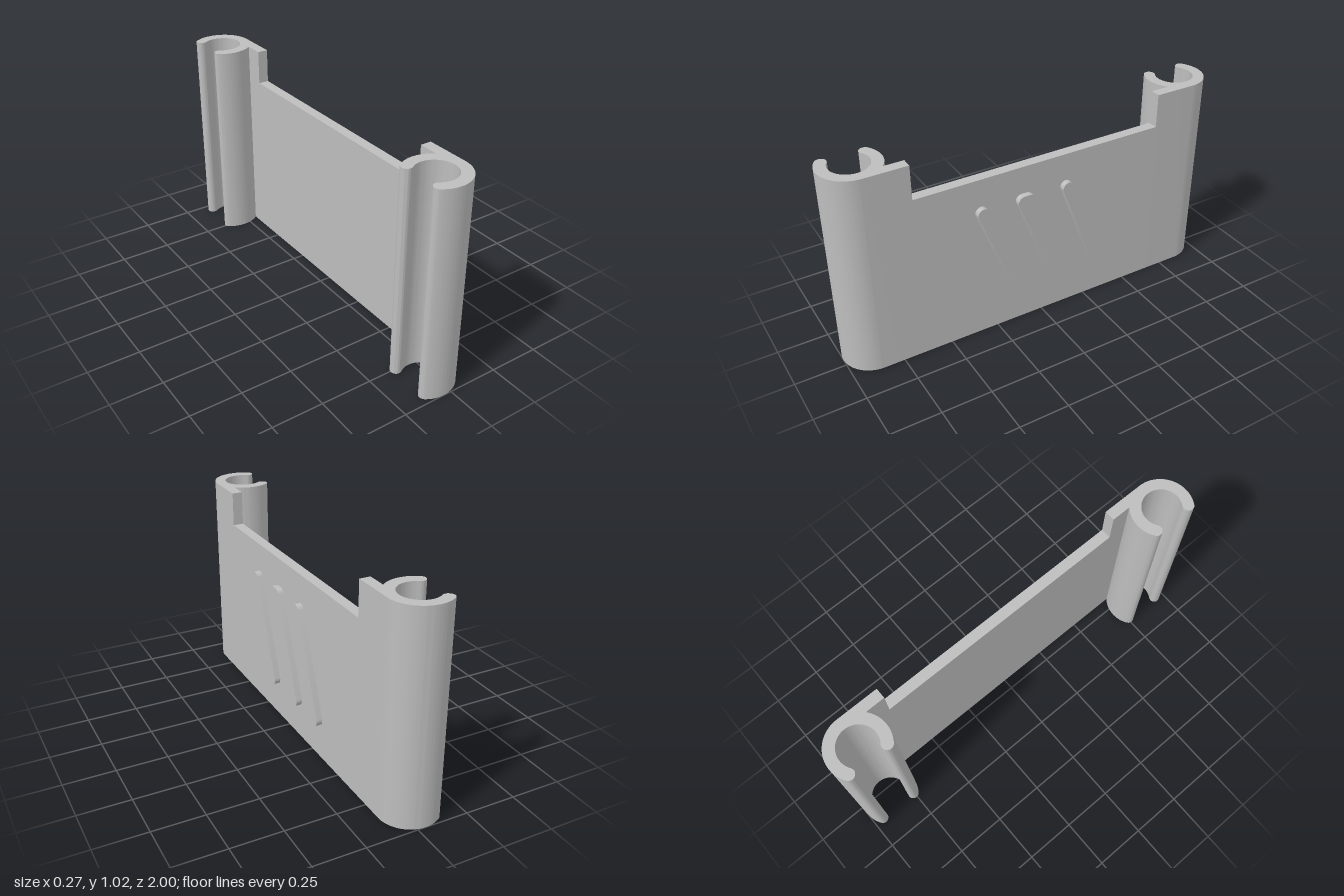
import * as THREE from 'three';
import { toCreasedNormals } from 'three/addons/utils/BufferGeometryUtils.js';

const IN = 0.055, OUT = 0.107;            // plate faces along x
const PLATE_H = 0.855, CLIP_H = 1.025;    // heights
const NOTCH = 0.645;                      // half length of the lowered top edge
const CX = -0.04, CZ = 0.853;             // clip centre
const R = 0.147, RI = 0.093;              // clip radii

function extrude(shape, depth) {
  return new THREE.ExtrudeGeometry(shape, { depth, bevelEnabled: false, curveSegments: 24 });
}

// Open C-shaped clip with rounded lips, joined to a short stretch of wall
function clipGeometry() {
  const a = THREE.MathUtils.degToRad(125), rm = (R + RI) / 2, rc = (R - RI) / 2;
  const lx = CX + rm * Math.cos(a), ly = rm * Math.sin(a);
  const s = new THREE.Shape();
  s.moveTo(IN, NOTCH);
  s.lineTo(OUT, NOTCH);
  s.lineTo(OUT, CZ);
  s.absarc(CX, CZ, R, 0, a, false);
  s.absarc(lx, CZ + ly, rc, a, a + Math.PI, false);
  s.absarc(CX, CZ, RI, a, -a, true);
  s.absarc(lx, CZ - ly, rc, -a - Math.PI, -a, false);
  s.absarc(CX, CZ, R, -a, -Math.acos((IN - CX) / R), false);
  s.closePath();
  return extrude(s, CLIP_H).rotateX(-Math.PI / 2);
}

// Slanted raised bar with rounded ends; extra widens it along z
function ribGeometry(zTop, zBottom, extra) {
  const r = 0.03, yb = 0.203, yt = 0.685, h = extra / 2;
  const side = Math.atan2(yt - yb, zBottom - zTop) - Math.PI / 2;
  const s = new THREE.Shape();
  s.absarc(-zBottom + h, yb, r, -Math.PI / 2, side, false);
  s.absarc(-zTop + h, yt, r, side, Math.PI / 2, false);
  s.absarc(-zTop - h, yt, r, Math.PI / 2, side + Math.PI, false);
  s.absarc(-zBottom - h, yb, r, side + Math.PI, Math.PI * 1.5, false);
  s.closePath();
  return extrude(s, 0.029).rotateY(Math.PI / 2).translate(OUT, 0, 0);
}

export function createModel() {
  const group = new THREE.Group();
  const grey = new THREE.MeshStandardMaterial({ color: 0xbdbdbd });
  grey.name = 'grey plastic';

  const add = (name, geometry) => {
    const mesh = new THREE.Mesh(toCreasedNormals(geometry, 0.6), grey);
    mesh.name = name;
    group.add(mesh);
  };

  // Flat wall between the clips
  add('plate', new THREE.BoxGeometry(OUT - IN, PLATE_H, NOTCH * 2)
    .translate((IN + OUT) / 2, PLATE_H / 2, 0));

  // The two clips mirror each other; the second is the first turned upside down
  add('backClip', clipGeometry());
  add('frontClip', clipGeometry().rotateX(Math.PI).translate(0, CLIP_H, 0));

  // Three slanted ribs on the outer face
  add('frontRib', ribGeometry(0.32, 0.135, 0));
  add('middleRib', ribGeometry(0.096, -0.092, 0.03));
  add('backRib', ribGeometry(-0.13, -0.315, 0));

  return group;
}
